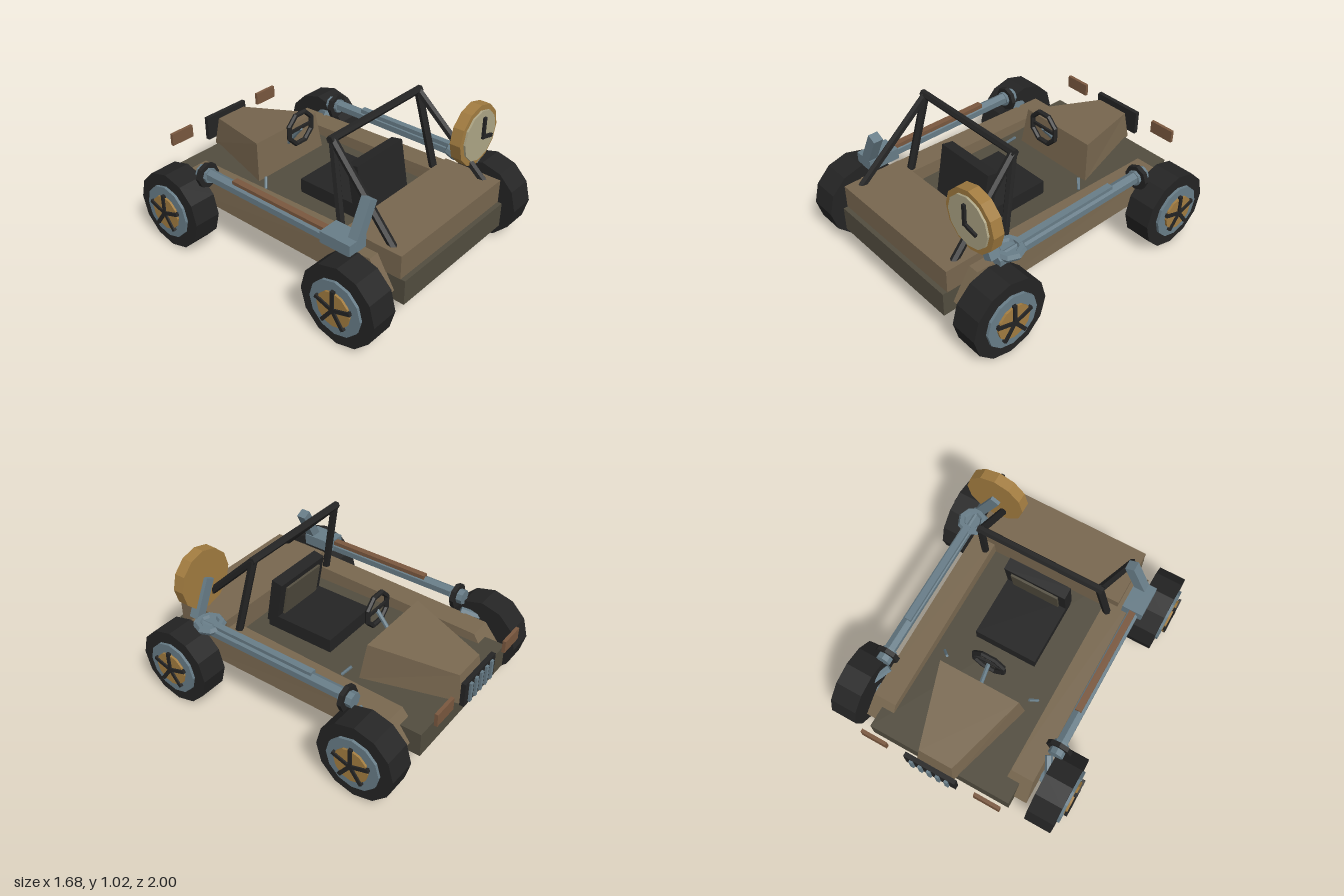
import * as THREE from 'three';

const mat = (name, color) => Object.assign(new THREE.MeshStandardMaterial({ color, flatShading: true }), { name });

export function createModel() {
  const root = new THREE.Group();
  root.name = 'buggy';
  const tan = mat('tan', 0x78674f), olive = mat('olive', 0x524d3f), black = mat('black', 0x242424);
  const steel = mat('steel', 0x687d88), gold = mat('gold', 0xa27c40), cream = mat('cream', 0xaea686);
  const brown = mat('brown', 0x7a583f);

  const add = (name, geo, material, pos = [0, 0, 0], rot = [0, 0, 0], parent = root) => {
    const m = new THREE.Mesh(geo, material);
    m.name = name;
    m.position.set(...pos);
    m.rotation.set(...rot);
    parent.add(m);
    return m;
  };
  // Box from min and max on each axis
  const box = (name, material, [x0, x1], [y0, y1], [z0, z1]) =>
    add(name, new THREE.BoxGeometry(x1 - x0, y1 - y0, z1 - z0), material,
      [(x0 + x1) / 2, (y0 + y1) / 2, (z0 + z1) / 2]);
  // Bar between two points
  const bar = (name, material, a, b, r, sides = 6) => {
    const A = new THREE.Vector3(...a), B = new THREE.Vector3(...b), d = B.clone().sub(A);
    const m = add(name, new THREE.CylinderGeometry(r, r, d.length(), sides), material);
    m.position.copy(A).add(B).multiplyScalar(0.5);
    m.quaternion.setFromUnitVectors(new THREE.Vector3(0, 1, 0), d.normalize());
    return m;
  };
  // Six-sided block from four bottom and four top corners, counterclockwise seen from above
  const block = (name, material, b, t) => {
    const quads = [t, [b[3], b[2], b[1], b[0]]];
    for (let i = 0; i < 4; i++) {
      const j = (i + 1) % 4;
      quads.push([b[i], b[j], t[j], t[i]]);
    }
    const pos = quads.flatMap(([p, q, r, s]) => [p, q, r, p, r, s].flat());
    const g = new THREE.BufferGeometry();
    g.setAttribute('position', new THREE.Float32BufferAttribute(pos, 3));
    g.computeVertexNormals();
    return add(name, g, material);
  };
  const rect = (x0, x1, z0, z1, yBack, yFront) =>
    [[x0, yFront, z1], [x1, yFront, z1], [x1, yBack, z0], [x0, yBack, z0]];

  // Chassis, deck and hood
  box('chassis', olive, [-0.497, 0.497], [0.21, 0.375], [-0.9, 0.97]);
  box('deck', tan, [-0.5, 0.5], [0.375, 0.53], [0.54, 0.94]);
  block('hood', tan,
    [[-0.305, 0.37, -0.34], [0.305, 0.37, -0.34], [0.13, 0.36, -0.945], [-0.13, 0.36, -0.945]],
    [[-0.277, 0.627, -0.375], [0.277, 0.627, -0.375], [0.115, 0.553, -0.91], [-0.115, 0.553, -0.91]]);

  // Grille with ribs, and lamps
  box('grille', black, [-0.177, 0.177], [0.395, 0.56], [-0.985, -0.955]);
  for (let i = -2; i <= 2; i++)
    box('grilleRib', steel, [i * 0.061 - 0.012, i * 0.061 + 0.012], [0.41, 0.545], [-1, -0.984]);

  // Seat and steering
  box('seatBase', black, [-0.215, 0.215], [0.37, 0.47], [-0.055, 0.44]);
  const back = add('seatBack', new THREE.BoxGeometry(0.43, 0.33, 0.08), black, [0, 0.57, 0.385], [-0.18, 0, 0]);
  add('seatPad', new THREE.BoxGeometry(0.33, 0.23, 0.02), olive, [0, 0.01, -0.045], [0, 0, 0], back);
  add('steeringWheel', new THREE.TorusGeometry(0.11, 0.017, 6, 8), black, [0, 0.673, -0.255], [0, 0, Math.PI / 8]);
  add('steeringSpoke', new THREE.BoxGeometry(0.2, 0.02, 0.015), black, [0, 0.673, -0.255]);
  bar('steeringColumn', steel, [0, 0.67, -0.25], [0, 0.52, -0.37], 0.014);

  // Roll cage
  bar('rollBarTop', black, [-0.425, 0.997, 0.365], [0.42, 0.997, 0.365], 0.025);

  for (const s of [-1, 1]) {
    const span = (a, b) => (s > 0 ? [a, b] : [-b, -a]);
    box('lamp', brown, span(0.305, 0.48), [0.475, 0.56], [-0.985, -0.963]);
    block('sidePod', tan,
      rect(...span(0.4, 0.585), -0.83, 0.9, 0.275, 0.275),
      rect(...span(0.415, 0.57), -0.72, 0.78, 0.43, 0.475));
    bar('pedalLever', steel, [s * 0.345, 0.38, -0.24], [s * 0.3, 0.43, -0.28], 0.01);
    bar('rollBarLeg', black, [s * 0.4, 0.997, 0.365], [s * 0.455, 0.44, 0.485], 0.026);
    bar('rollBarBrace', black, [s * 0.4, 0.99, 0.37], [s * 0.45, 0.51, 0.855], 0.025);

    // Side barrels with muzzle collar, top strip and angled grip
    bar('barrel', steel, [s * 0.613, 0.527, -0.53], [s * 0.613, 0.527, s > 0 ? 0.68 : 0.55], 0.04);
    bar('muzzleCollar', black, [s * 0.613, 0.515, -0.49], [s * 0.613, 0.515, -0.46], 0.083, 8);
    bar('muzzleTip', steel, [s * 0.613, 0.52, -0.53], [s * 0.613, 0.52, -0.44], 0.05, 8);
    box('barrelStrip', s > 0 ? steel : brown, span(0.587, 0.63), [0.545, 0.58], [-0.23, 0.53]);
    add('grip', new THREE.BoxGeometry(0.065, 0.27, 0.065), steel, [s * 0.54, 0.67, 0.695], [0, 0, s * 0.46]);

    // Wheels and suspension arms
    for (const z of [0.74, -0.655]) {
      const wheel = new THREE.Group();
      wheel.name = 'wheel';
      wheel.position.set(s * 0.71, 0.262, z);
      root.add(wheel);
      const disc = (name, r, x0, x1, m) => add(name, new THREE.CylinderGeometry(r, r, x1 - x0, 12), m,
        [s * (x0 + x1) / 2, 0, 0], [0, 0, Math.PI / 2], wheel);
      disc('tyre', 0.262, -0.093, 0.09, black);
      disc('rim', 0.18, 0.08, 0.108, steel);
      disc('hubPlate', 0.116, 0.1, 0.122, gold);
      for (let i = 0; i < 5; i++) {
        const a = i * Math.PI * 0.4;
        add('spoke', new THREE.BoxGeometry(0.02, 0.13, 0.024), black,
          [s * 0.122, Math.cos(a) * 0.065, Math.sin(a) * 0.065], [a, 0, 0], wheel);
      }
      bar('suspensionArm', steel, [s * 0.64, 0.26, z], [s * 0.47, 0.3, z + (z < 0 ? 0.08 : -0.08)], 0.032);
    }
  }
  for (const s of [-1, 1])
    bar('steeringArm', steel, [s * 0.635, 0.4, -0.64], [s * 0.575, 0.44, -0.53], 0.025);

  // Right receiver block and left drum
  box('receiver', steel, [-0.675, -0.535], [0.515, 0.59], [0.51, 0.725]);
  add('drum', new THREE.TorusGeometry(0.075, 0.028, 6, 8), steel, [0.603, 0.553, 0.58], [Math.PI / 2, 0, 0]);
  add('drumCore', new THREE.CylinderGeometry(0.06, 0.06, 0.04, 8), steel, [0.603, 0.54, 0.58]);

  // Clock
  const clock = new THREE.Group();
  clock.name = 'clock';
  clock.position.set(0.493, 0.785, 0);
  root.add(clock);
  const dial = (name, r, z0, z1, m) => add(name, new THREE.CylinderGeometry(r, r, z1 - z0, 12), m,
    [0, 0, (z0 + z1) / 2], [Math.PI / 2, 0, 0], clock);
  dial('clockCase', 0.202, 0.688, 0.762, gold);
  dial('clockFace', 0.167, 0.76, 0.775, cream);
  add('longHand', new THREE.BoxGeometry(0.022, 0.145, 0.016), black, [0, 0.06, 0.795], [0, 0, 0], clock);
  add('shortHand', new THREE.BoxGeometry(0.1, 0.022, 0.016), black, [0.047, -0.012, 0.795], [0, 0, -0.24], clock);

  return root;
}
